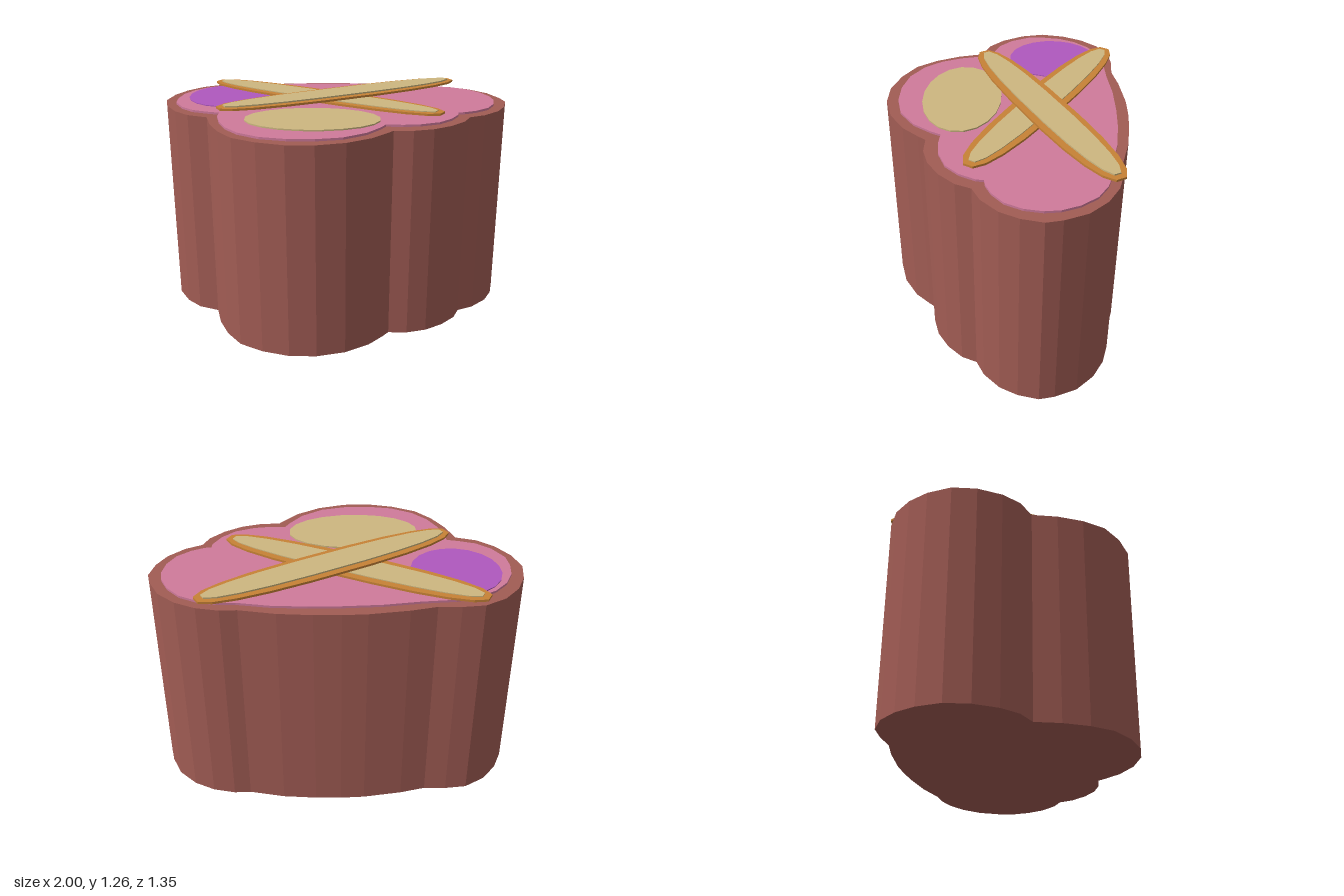
import * as THREE from 'three';

const material = (name, color) => {
  const m = new THREE.MeshStandardMaterial({ color });
  m.name = name;
  return m;
};

// Flat plate: an outline of [x, z] points extruded upwards from y0 to y1
function plate(name, outline, y0, y1, mat) {
  const shape = new THREE.Shape(outline.map(([x, z]) => new THREE.Vector2(x, -z)));
  const geo = new THREE.ExtrudeGeometry(shape, { depth: y1 - y0, bevelEnabled: false });
  geo.rotateX(-Math.PI / 2);
  geo.translate(0, y0, 0);
  const mesh = new THREE.Mesh(geo, mat);
  mesh.name = name;
  return mesh;
}

// Oval outline, turned by an angle; a power above 2 makes the ends blunter
function oval(cx, cz, rx, rz, angle = 0, power = 2, sides = 20) {
  const bend = (t) => Math.sign(t) * Math.pow(Math.abs(t), 2 / power);
  return Array.from({ length: sides }, (_, i) => {
    const a = ((i + 0.5) / sides) * Math.PI * 2;
    const u = rx * bend(Math.cos(a)), v = rz * bend(Math.sin(a));
    return [
      cx + u * Math.cos(angle) - v * Math.sin(angle),
      cz + u * Math.sin(angle) + v * Math.cos(angle),
    ];
  });
}

// Lobed outline of the block
const bodyOutline = [
  [-0.48, -0.62], [-0.34, -0.65], [-0.13, -0.675], [0, -0.677], [0.14, -0.67], [0.32, -0.65],
  [0.51, -0.605], [0.6, -0.605], [0.72, -0.575], [0.83, -0.515], [0.925, -0.42], [0.98, -0.3],
  [1, -0.215], [0.975, -0.1], [0.925, 0], [0.835, 0.09], [0.745, 0.136], [0.71, 0.22],
  [0.63, 0.307], [0.53, 0.372], [0.42, 0.405], [0.315, 0.405], [0.28, 0.45], [0.2, 0.54],
  [0.07, 0.623], [-0.085, 0.668], [-0.235, 0.668], [-0.385, 0.623], [-0.515, 0.548],
  [-0.6, 0.436], [-0.663, 0.302], [-0.7, 0.165], [-0.815, 0.12], [-0.9, 0.04],
  [-0.97, -0.08], [-1, -0.21], [-0.975, -0.345], [-0.92, -0.457], [-0.835, -0.553],
  [-0.72, -0.617], [-0.6, -0.627],
];

// Slightly smaller outline of the coloured top
const topOutline = [
  [-0.4, -0.585], [-0.21, -0.607], [0, -0.612], [0.165, -0.607], [0.35, -0.59], [0.52, -0.553],
  [0.62, -0.55], [0.72, -0.52], [0.81, -0.468], [0.88, -0.382], [0.92, -0.29], [0.93, -0.21],
  [0.915, -0.115], [0.87, -0.024], [0.795, 0.04], [0.727, 0.072], [0.69, 0.078], [0.685, 0.12],
  [0.64, 0.206], [0.567, 0.28], [0.46, 0.323], [0.37, 0.334], [0.278, 0.329], [0.25, 0.382],
  [0.176, 0.484], [0.053, 0.57], [-0.085, 0.602], [-0.23, 0.602], [-0.37, 0.57],
  [-0.49, 0.495], [-0.567, 0.398], [-0.615, 0.286], [-0.64, 0.18], [-0.64, 0.11],
  [-0.7, 0.093], [-0.797, 0.056], [-0.87, -0.013], [-0.925, -0.12], [-0.93, -0.215],
  [-0.914, -0.318], [-0.87, -0.41], [-0.797, -0.49], [-0.7, -0.548], [-0.58, -0.575],
];

export function createModel() {
  const brown = material('brown', 0xa15c54);
  const pink = material('pink', 0xcf7a9b);
  const purple = material('purple', 0xaf58be);
  const cream = material('cream', 0xcdb780);
  const orange = material('orange', 0xc78236);

  const model = new THREE.Group();
  model.name = 'lobedBlock';
  model.add(plate('body', bodyOutline, 0, 1.2, brown));
  model.add(plate('topLayer', topOutline, 1.2, 1.212, pink));

  // Two oval patches on the top
  model.add(plate('purplePatch', oval(-0.628, -0.27, 0.242, 0.26), 1.212, 1.217, purple));
  model.add(plate('creamPatch', oval(-0.115, 0.245, 0.37, 0.222), 1.212, 1.22, cream));

  // Crossed slats, each an orange base with a smaller cream face
  const slats = [
    { name: 'lowerSlat', x: -0.075, angle: 0.515, y: 1.222, face: 0.005 },
    { name: 'upperSlat', x: 0.037, angle: -0.495, y: 1.24, face: 0.008 },
  ];
  for (const { name, x, angle, y, face } of slats) {
    const slat = new THREE.Group();
    slat.name = name;
    slat.add(plate('slatBase', oval(x, -0.215, 0.775, 0.128, angle, 2.5), y, y + 0.012, orange));
    slat.add(plate('slatFace', oval(x, -0.215, 0.74, 0.088, angle, 2.4), y + 0.012, y + 0.012 + face, cream));
    model.add(slat);
  }
  return model;
}
